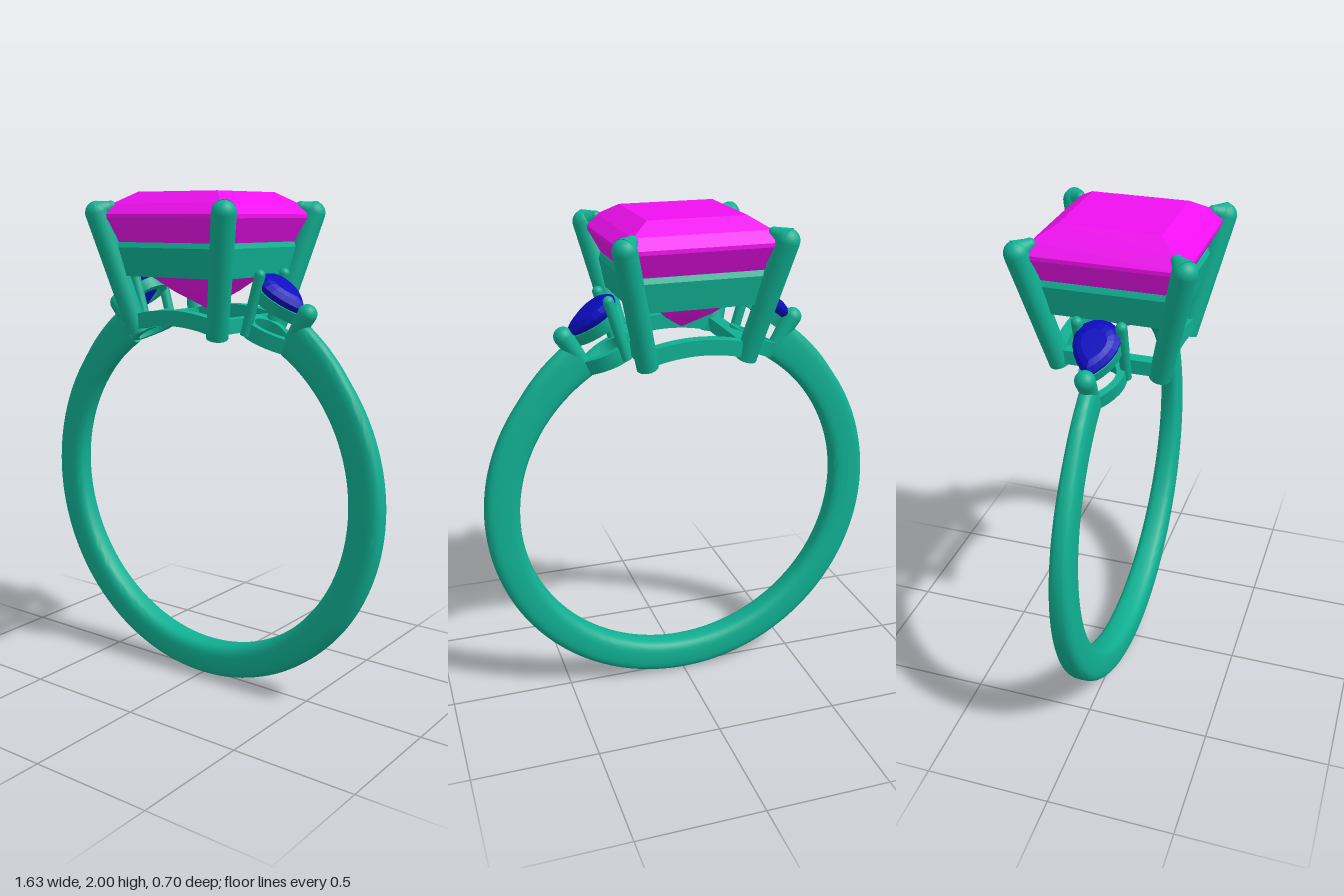
import * as THREE from 'three';
import { toCreasedNormals } from 'three/addons/utils/BufferGeometryUtils.js';

const metal = new THREE.MeshStandardMaterial({ color: 0x10b092 });
const pink = new THREE.MeshStandardMaterial({ color: 0xf010f0, flatShading: true });
const blue = new THREE.MeshStandardMaterial({ color: 0x0c0cc0, flatShading: true });
const metalFlat = metal.clone();
metalFlat.flatShading = true;

const V = (x, y, z) => new THREE.Vector3(x, y, z);

function add(parent, name, geometry, material = metal) {
  const mesh = new THREE.Mesh(geometry, material);
  mesh.name = name;
  parent.add(mesh);
  return mesh;
}

// Skin a list of closed cross-sections
function loft(rings) {
  const n = rings[0].length, index = [];
  for (let i = 0; i < rings.length - 1; i++) {
    for (let j = 0; j < n; j++) {
      const a = i * n + j, b = i * n + (j + 1) % n;
      index.push(a, a + n, b, b, a + n, b + n);
    }
  }
  const g = new THREE.BufferGeometry().setFromPoints(rings.flat());
  g.setIndex(index);
  g.computeVertexNormals();
  return g;
}

// Tapered rod between two points with a rounded far end
function rod(parent, name, a, b, ra, rb) {
  const group = new THREE.Group();
  group.name = name;
  const dir = b.clone().sub(a), len = dir.length();
  const shaft = add(group, name + 'Shaft', new THREE.CylinderGeometry(rb, ra, len, 20));
  shaft.position.y = len / 2;
  add(group, name + 'Tip', new THREE.SphereGeometry(rb, 20, 14)).position.y = len;
  group.position.copy(a);
  group.quaternion.setFromUnitVectors(V(0, 1, 0), dir.normalize());
  parent.add(group);
  return group;
}

// Four-sided solid from a profile of [half width, height]
const square = (profile) =>
  new THREE.LatheGeometry(profile.map(([w, y]) => new THREE.Vector2(w * Math.SQRT2, y)), 4, Math.PI / 4);

// Pear outline, pointed towards +x
function pear(scale, count = 32) {
  return Array.from({ length: count }, (_, i) => {
    const a = (i / count) * Math.PI * 2;
    const w = 0.105 * Math.sin(a) * Math.pow(Math.abs(Math.sin(a / 2)), 0.7);
    return new THREE.Vector2(0.113 * Math.cos(a) * scale, w * scale);
  });
}

function pearRail(outer, inner, height) {
  const shape = new THREE.Shape(pear(outer));
  shape.holes.push(new THREE.Path(pear(inner)));
  const g = new THREE.ExtrudeGeometry(shape, { depth: height, bevelEnabled: false });
  g.rotateX(-Math.PI / 2);
  return toCreasedNormals(g, 0.6);
}

// Band: rounded section swept round the finger, slimmer at the shoulders
function shankGeometry() {
  const rings = [], steps = 120, sides = 28, start = 0.57;
  const soft = (v, p) => Math.sign(v) * Math.pow(Math.abs(v), p);
  const section = (t, k) => {
    const up = (1 + Math.cos(t)) / 2;
    const outer = 0.815 + 0.02 * Math.max(0, (up - 0.8) / 0.12);
    const mid = (0.675 + outer) / 2, h = (outer - 0.675) / 2 * k, w = (0.06 - 0.03 * up) * k;
    return Array.from({ length: sides }, (_, j) => {
      const s = (j / sides) * Math.PI * 2;
      const r = mid + h * soft(Math.cos(s), 0.65);
      return V(Math.sin(t) * r, 0.82 + Math.cos(t) * r, -w * soft(Math.sin(s), 0.65));
    });
  };
  rings.push(section(start, 0.001));
  for (let i = 0; i <= steps; i++) {
    rings.push(section(start + (i / steps) * 2 * (Math.PI - start), 1));
  }
  rings.push(section(2 * Math.PI - start, 0.001));
  return toCreasedNormals(loft(rings), 0.9);
}

// Curved bar that follows the finger hole between two prongs
function archGeometry() {
  const shape = new THREE.Shape();
  shape.absarc(0, 0, 0.735, Math.PI / 2 - 0.28, Math.PI / 2 + 0.28, false);
  shape.absarc(0, 0, 0.675, Math.PI / 2 + 0.28, Math.PI / 2 - 0.28, true);
  const g = new THREE.ExtrudeGeometry(shape, { depth: 0.05, bevelEnabled: false, curveSegments: 24 });
  g.translate(0, 0.82, -0.025);
  return toCreasedNormals(g, 0.6);
}

function centreSetting() {
  const g = new THREE.Group();
  g.name = 'centreSetting';
  // Square stone: pavilion, girdle, crown, table
  add(g, 'centreStone', square([
    [0, 1.55], [0.09, 1.615], [0.165, 1.685], [0.25, 1.8], [0.304, 1.9],
    [0.304, 1.915], [0.262, 1.955], [0.19, 2], [0, 2],
  ]), pink);
  // Square gallery rail
  add(g, 'galleryRail', square([
    [0.205, 1.68], [0.25, 1.68], [0.268, 1.79], [0.258, 1.81], [0.215, 1.81], [0.205, 1.68],
  ]), metalFlat);
  // Corner prongs with claws bent over the stone
  for (let k = 0; k < 4; k++) {
    const corner = new THREE.Group();
    corner.name = 'cornerProng';
    rod(corner, 'prong', V(0.195, 1.46, 0.195), V(0.303, 1.92, 0.303), 0.042, 0.046);
    rod(corner, 'claw', V(0.303, 1.925, 0.303), V(0.266, 1.945, 0.266), 0.044, 0.022);
    corner.rotation.y = k * Math.PI / 2;
    g.add(corner);
  }
  // Base rails between prong feet
  for (const s of [-1, 1]) {
    add(g, 'baseArch', archGeometry()).position.z = s * 0.2;
    add(g, 'baseSideBar', new THREE.BoxGeometry(0.05, 0.055, 0.4)).position.set(s * 0.2, 1.5, 0);
  }
  return g;
}

function sideSetting() {
  const side = new THREE.Group();
  side.name = 'sideSetting';
  // Tilted head holding the pear stone
  const head = new THREE.Group();
  head.name = 'sideHead';
  head.position.set(0.36, 1.625, 0);
  head.rotation.z = -0.63;
  side.add(head);
  const levels = [[0.001, -0.09], [0.55, -0.055], [0.98, -0.008], [1, 0.004], [0.8, 0.022], [0.55, 0.03], [0.001, 0.03]];
  add(head, 'sideStone', loft(levels.map(([s, y]) => pear(s, 20).map((p) => V(p.x, y, p.y)))), blue);
  add(head, 'upperPearRail', pearRail(0.93, 0.66, 0.045)).position.y = -0.068;
  for (const s of [-1, 1]) {
    rod(head, 'sideProng', V(0, -0.2, s * 0.08), V(-0.08, 0.025, s * 0.083), 0.02, 0.021);
  }
  // Lower rail resting along the finger curve
  const lower = add(side, 'lowerPearRail', pearRail(1, 0.66, 0.06));
  lower.position.set(0.287, 1.435, 0);
  lower.rotation.z = -0.44;
  // Shoulder prong over the stone's point
  rod(side, 'shoulderProng', V(0.375, 1.405, 0), V(0.468, 1.55, 0), 0.026, 0.038);
  return side;
}

export function createModel() {
  const ring = new THREE.Group();
  ring.name = 'ring';
  add(ring, 'shank', shankGeometry());
  ring.add(centreSetting());
  for (const turn of [0, Math.PI]) {
    const side = sideSetting();
    side.rotation.y = turn;
    ring.add(side);
  }
  return ring;
}
